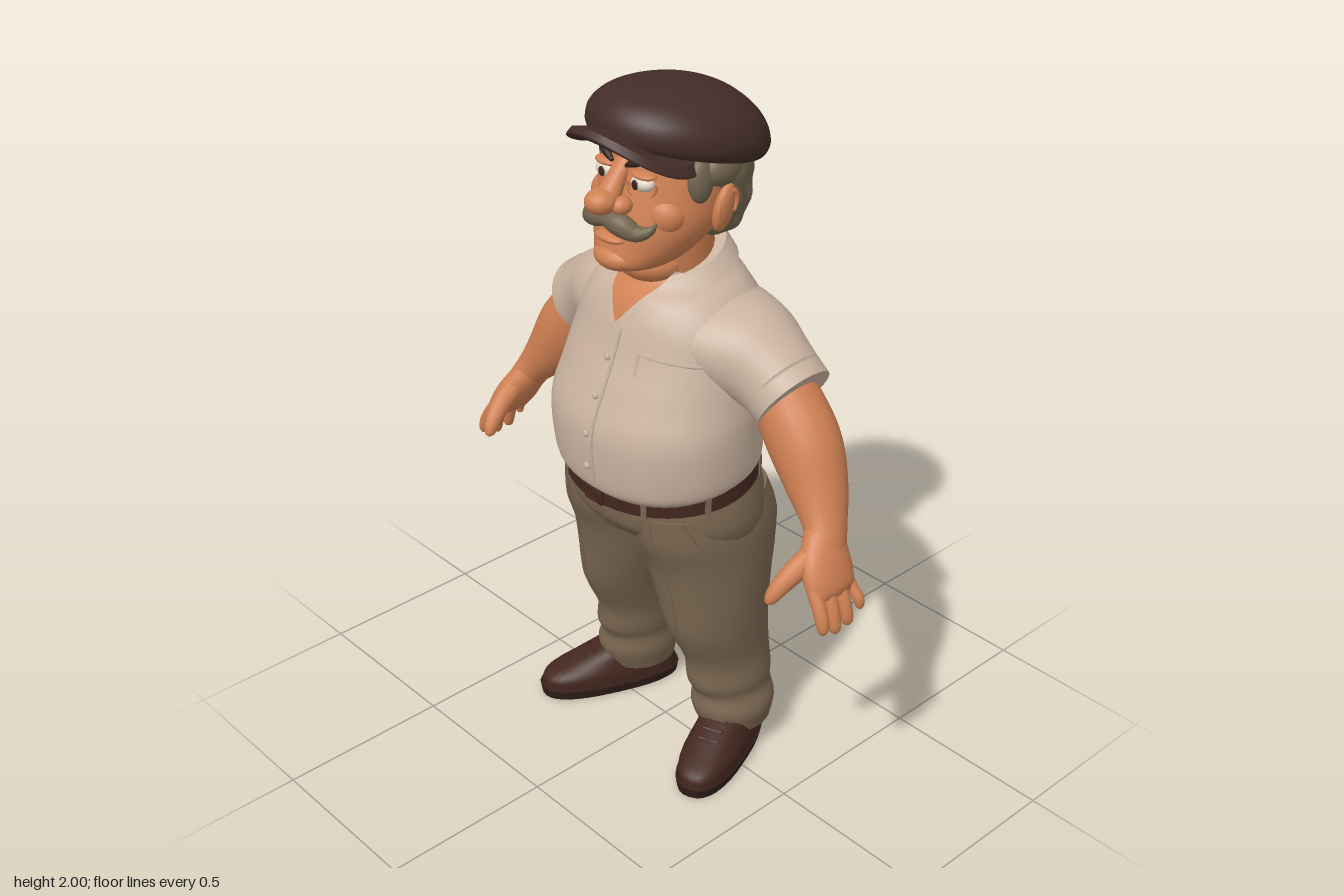
import * as THREE from 'three';

const mat = (name, color, side = THREE.FrontSide) => new THREE.MeshStandardMaterial({ name, color, side });

export function createModel() {
  const root = new THREE.Group();
  root.name = 'standingMan';
  const M = {
    skin: mat('skin', 0xcf8052, THREE.DoubleSide), hair: mat('greyHair', 0x74664f), cap: mat('capBrown', 0x442d28),
    shirt: mat('shirtBeige', 0xcab3a0, THREE.DoubleSide), trousers: mat('trouserBrown', 0x7a6650),
    leather: mat('leather', 0x43271f), sole: mat('sole', 0x2f1d19), white: mat('eyeWhite', 0xe2d6c8),
    dark: mat('dark', 0x35241c),
  };
  const add = (name, geo, m, parent = root) => {
    const mesh = new THREE.Mesh(geo, m);
    mesh.name = name;
    parent.add(mesh);
    return mesh;
  };

  // Smooth loft through rows [x, y, z, radiusU, radiusV, tilt]; level rings, or rings across the path when along is set
  function loft(rows, { n = 32, along = false, e = 2, steps = 5 } = {}) {
    const curve = f => new THREE.CatmullRomCurve3(rows.map(f), false, 'catmullrom', 0.5);
    const path = curve(r => new THREE.Vector3(r[0], r[1], r[2]));
    const size = curve(r => new THREE.Vector3(r[3], r[4] ?? r[3], r[5] ?? 0));
    const pos = [], idx = [], count = (rows.length - 1) * steps;
    const sp = c => Math.sign(c) * Math.abs(c) ** (2 / e);
    for (let i = 0; i <= count; i++) {
      const c = path.getPoint(i / count), s = size.getPoint(i / count);
      const T = along ? path.getTangent(i / count) : new THREE.Vector3(0, 1, 0);
      const v = new THREE.Vector3(0, 0, 1).addScaledVector(T, -T.z).normalize();
      const u = T.clone().cross(v);
      for (let j = 0; j < n; j++) {
        const a = j / n * Math.PI * 2, ku = s.x * sp(Math.cos(a)), kv = s.y * sp(Math.sin(a));
        const p = c.clone().addScaledVector(u, ku).addScaledVector(v, kv);
        pos.push(p.x, p.y + s.z * kv, p.z);
        if (i < count) {
          const k = i * n + j, l = i * n + (j + 1) % n;
          idx.push(k, k + n, l + n, k, l + n, l);
        }
      }
    }
    // End caps with their own vertices, so that the rims stay crisp
    for (const [i, r] of [[0, rows[0]], [count, rows[rows.length - 1]]]) {
      const b = pos.length / 3;
      pos.push(...pos.slice(i * n * 3, (i + 1) * n * 3), r[0], r[1], r[2]);
      for (let j = 0; j < n; j++) {
        const l = b + (j + 1) % n;
        idx.push(b + n, ...(i ? [l, b + j] : [b + j, l]));
      }
    }
    const g = new THREE.BufferGeometry();
    g.setAttribute('position', new THREE.Float32BufferAttribute(pos, 3));
    g.setIndex(idx);
    g.computeVertexNormals();
    return g;
  }
  const ball = (name, m, x, y, z, sx, sy, sz) =>
    add(name, new THREE.SphereGeometry(1, 24, 16).scale(sx, sy, sz).translate(x, y, z), m);
  const mirror = (rows, s) => rows.map(r => [r[0] * s, ...r.slice(1)]);

  // Details laid on the front of other parts
  const hit = (targets, x, y, off) => {
    const h = new THREE.Raycaster(new THREE.Vector3(x, y, 2), new THREE.Vector3(0, 0, -1)).intersectObjects(targets, false)[0];
    return new THREE.Vector3(x, y, (h ? h.point.z : 0) + off);
  };
  function ridge(name, targets, pts, m, r = 0.003) {
    const p = [];
    for (let i = 0; i < pts.length - 1; i++)
      for (let k = 0; k < 8; k++)
        p.push(hit(targets, THREE.MathUtils.lerp(pts[i][0], pts[i + 1][0], k / 8), THREE.MathUtils.lerp(pts[i][1], pts[i + 1][1], k / 8), 0.001));
    p.push(hit(targets, ...pts[pts.length - 1], 0.001));
    add(name, new THREE.TubeGeometry(new THREE.CatmullRomCurve3(p), p.length * 2, r, 5), m);
  }
  function patch(name, targets, [bl, br, tr, tl], m, off) {
    const g = new THREE.PlaneGeometry(1, 1, 10, 10), p = g.attributes.position, mix = THREE.MathUtils.lerp;
    for (let i = 0; i < p.count; i++) {
      const u = p.getX(i) + 0.5, v = p.getY(i) + 0.5;
      const q = hit(targets, mix(mix(bl[0], br[0], u), mix(tl[0], tr[0], u), v), mix(mix(bl[1], br[1], u), mix(tl[1], tr[1], u), v), off);
      p.setXYZ(i, q.x, q.y, q.z);
    }
    g.computeVertexNormals();
    add(name, g, m);
  }

  // Shirt, collar and neck
  const torso = add('shirt', loft([
    [0, 0.935, 0.02, 0.286, 0.232, -0.15], [0, 0.975, 0.027, 0.308, 0.25, -0.13], [0, 1.1, 0.037, 0.312, 0.248, -0.04],
    [0, 1.2, 0.003, 0.302, 0.242, 0], [0, 1.3, -0.025, 0.29, 0.226, 0], [0, 1.39, -0.036, 0.268, 0.205, 0],
    [0, 1.46, -0.035, 0.21, 0.172, -0.05], [0, 1.5, -0.03, 0.15, 0.145, -0.2], [0, 1.525, -0.035, 0.13, 0.13, -0.35]], { n: 48, e: 2.15 }), M.shirt);
  const collar = add('collar', loft([[0, 1.49, -0.035, 0.175, 0.16, -0.25], [0, 1.535, -0.035, 0.135, 0.133, -0.35]]), M.shirt);
  const neck = add('neck', loft([[0, 1.42, -0.03, 0.11, 0.1], [0, 1.5, -0.02, 0.115, 0.115], [0, 1.62, -0.01, 0.12, 0.12]]), M.skin);
  const chest = [torso, collar, neck];
  patch('openNeck', chest, [[-0.003, 1.385], [0.003, 1.385], [0.09, 1.5], [-0.09, 1.5]], M.skin, 0.006);
  for (const s of [-1, 1])
    patch('collarFlap', chest, [[0.065 * s, 1.43], [0.135 * s, 1.4], [0.18 * s, 1.475], [0.095 * s, 1.525]], M.shirt, 0.016);
  patch('chestPocket', chest, [[0.11, 1.18], [0.24, 1.18], [0.25, 1.315], [0.1, 1.325]], M.shirt, 0.005);
  ridge('pocketHem', chest, [[0.105, 1.27], [0.1, 1.325], [0.25, 1.315]], M.shirt, 0.006);
  ridge('placketEdge', chest, [[0.022, 1.37], [0.022, 0.93]], M.shirt, 0.004);
  for (let i = 0; i < 4; i++) {
    const p = hit(chest, 0, 1.29 - i * 0.1, 0.002);
    ball('button', M.shirt, p.x, p.y, p.z, 0.01, 0.01, 0.006);
  }

  // Trousers and belt
  const wear = [add('hips', loft([
    [0, 0.65, -0.03, 0.06, 0.06], [0, 0.7, -0.025, 0.18, 0.13], [0, 0.75, -0.02, 0.285, 0.2], [0, 0.8, -0.009, 0.309, 0.238],
    [0, 0.86, 0.003, 0.307, 0.24, -0.08], [0, 0.93, 0.013, 0.29, 0.233, -0.15]], { n: 48 }), M.trousers)];
  for (const s of [-1, 1])
    wear.push(add('trouserLeg', loft(mirror([
      [0.207, 0.085, -0.085, 0.1, 0.112], [0.207, 0.15, -0.078, 0.113, 0.13], [0.2, 0.205, -0.078, 0.1, 0.125],
      [0.197, 0.25, -0.07, 0.104, 0.138], [0.189, 0.33, -0.065, 0.103, 0.14], [0.181, 0.45, -0.036, 0.121, 0.166],
      [0.163, 0.58, -0.032, 0.144, 0.185], [0.152, 0.68, -0.032, 0.156, 0.205], [0.146, 0.77, -0.02, 0.16, 0.226],
      [0.14, 0.86, 0, 0.15, 0.215]], s)), M.trousers));
  for (const s of [-1, 1]) {
    ridge('pleat', wear, [[0.165 * s, 0.87], [0.19 * s, 0.6], [0.2 * s, 0.36]], M.trousers);
    ridge('pocketSlit', wear, [[0.23 * s, 0.89], [0.275 * s, 0.77]], M.trousers);
  }
  ridge('fly', wear, [[0, 0.86], [0, 0.7]], M.trousers);
  add('belt', loft([[0, 0.905, 0.015, 0.3, 0.244, -0.15], [0, 0.955, 0.015, 0.3, 0.244, -0.15]], { n: 48, steps: 1 }), M.leather);
  add('buckle', new THREE.BoxGeometry(0.07, 0.046, 0.012).translate(0, 0.893, 0.26), M.leather);
  add('buckleFrame', new THREE.TorusGeometry(0.022, 0.004, 6, 4).rotateZ(Math.PI / 4).scale(1.6, 1.1, 1).translate(0, 0.893, 0.266), M.leather);
  for (const a of [0.55, 1.2, 2.1, Math.PI, 4.18, 5.08, 5.73]) {
    const z = 0.244 * Math.cos(a);
    add('beltLoop', new THREE.BoxGeometry(0.016, 0.06, 0.01).rotateY(a).translate(0.3 * Math.sin(a), 0.93 - 0.15 * z, 0.015 + z), M.trousers);
  }

  // Sleeves, arms and hands
  for (const s of [-1, 1]) {
    const limb = (name, rows, m, n = 24) => add(name, loft(mirror(rows, s), { along: true, n }), m);
    limb('sleeve', [[0.05, 1.36, -0.05, 0.1, 0.19], [0.15, 1.342, -0.055, 0.12, 0.185], [0.25, 1.315, -0.065, 0.13, 0.158],
      [0.33, 1.28, -0.07, 0.119, 0.126], [0.405, 1.235, -0.07, 0.108, 0.11]], M.shirt, 32);
    limb('sleeveCuff', [[0.37, 1.258, -0.07, 0.116, 0.115], [0.412, 1.23, -0.07, 0.113, 0.113]], M.shirt, 32);
    limb('arm', [[0.36, 1.25, -0.07, 0.09, 0.09], [0.46, 1.13, -0.062, 0.1, 0.096], [0.53, 1.03, -0.045, 0.08, 0.083],
      [0.59, 0.95, -0.015, 0.052, 0.062], [0.615, 0.9, 0.01, 0.045, 0.065]], M.skin);
    limb('palm', [[0.59, 0.945, -0.008, 0.045, 0.055], [0.632, 0.87, 0.022, 0.044, 0.08], [0.662, 0.82, 0.032, 0.035, 0.078], [0.675, 0.795, 0.034, 0.018, 0.066]], M.skin);
    for (let i = 0; i < 4; i++) {
      const z = 0.09 - i * 0.039, fan = (1.5 - i) * 0.004, tip = [0.722, 0.705, 0.71, 0.738][i], w = i === 3 ? 0.016 : 0.019;
      limb('finger', [[0.648, 0.84, z, w], [0.683, 0.79, z + fan, w], [0.7, tip + 0.03, z + fan * 1.6, w * 0.95], [0.703, tip + 0.007, z + fan * 1.8, w * 0.65], [0.703, tip, z + fan * 1.8, 0.003]], M.skin, 12);
    }
    limb('thumb', [[0.61, 0.9, 0.05, 0.032], [0.6, 0.865, 0.11, 0.03], [0.587, 0.825, 0.155, 0.023], [0.58, 0.798, 0.173, 0.015], [0.578, 0.789, 0.177, 0.003]], M.skin, 12);
  }

  // Shoes, toes turned out
  for (const s of [-1, 1]) {
    const shoe = new THREE.Group();
    shoe.name = 'shoe';
    shoe.position.set(0.245 * s, 0, 0.008);
    shoe.rotation.y = 0.39 * s;
    root.add(shoe);
    add('shoeSole', loft([[0, 0, 0, 0.082, 0.217], [0, 0.028, 0, 0.087, 0.222]], { e: 2.5, steps: 1 }), M.sole, shoe);
    add('shoeUpper', loft([[0, 0.028, 0, 0.083, 0.215], [0, 0.065, -0.003, 0.083, 0.206], [0, 0.1, -0.035, 0.073, 0.158], [0, 0.145, -0.085, 0.062, 0.094]], { e: 2.4 }), M.leather, shoe);
    for (let i = 0; i < 3; i++)
      add('lace', new THREE.CapsuleGeometry(0.006, 0.055, 3, 8).rotateZ(Math.PI / 2).translate(0, 0.137 - i * 0.014, 0.025 + i * 0.03), M.leather, shoe);
  }

  // Head and face
  add('head', loft([
    [0, 1.53, 0.1, 0.05, 0.065], [0, 1.555, 0.085, 0.1, 0.125], [0, 1.61, 0.05, 0.146, 0.15], [0, 1.67, 0.02, 0.174, 0.167],
    [0, 1.74, 0, 0.18, 0.167], [0, 1.8, -0.01, 0.176, 0.162], [0, 1.87, -0.02, 0.165, 0.16], [0, 1.92, -0.02, 0.12, 0.12]], { n: 40 }), M.skin);
  ball('chin', M.skin, 0, 1.57, 0.165, 0.07, 0.037, 0.056);
  ball('throat', M.skin, 0, 1.53, 0.05, 0.1, 0.06, 0.09);
  ball('lowerLip', M.skin, 0, 1.628, 0.19, 0.05, 0.014, 0.027);
  add('noseBridge', loft([[0, 1.82, 0.135, 0.024, 0.02], [0, 1.775, 0.17, 0.028, 0.025], [0, 1.73, 0.2, 0.035, 0.035]].reverse(), { along: true }), M.skin);
  ball('noseTip', M.skin, 0, 1.732, 0.217, 0.042, 0.034, 0.045);
  for (const s of [-1, 1]) {
    ball('nostril', M.skin, 0.038 * s, 1.722, 0.183, 0.026, 0.024, 0.03);
    ball('cheek', M.skin, 0.09 * s, 1.695, 0.092, 0.072, 0.058, 0.056);
    ball('eye', M.white, 0.067 * s, 1.779, 0.137, 0.036, 0.022, 0.025);
    ball('pupil', M.dark, 0.063 * s, 1.778, 0.161, 0.011, 0.013, 0.004);
    ball('upperLid', M.skin, 0.068 * s, 1.8, 0.134, 0.04, 0.011, 0.027);
    add('eyeBag', new THREE.TorusGeometry(0.04, 0.005, 8, 20, Math.PI).rotateZ(Math.PI).rotateY(0.4 * s).translate(0.07 * s, 1.779, 0.145), M.skin);
    add('eyebrow', loft(mirror([[0.026, 1.817, 0.157, 0.005], [0.05, 1.83, 0.153, 0.011], [0.085, 1.84, 0.138, 0.01], [0.12, 1.827, 0.112, 0.003]], s), { along: true, n: 12 }), M.dark);
    add('moustache', loft(mirror([[-0.004, 1.683, 0.2, 0.02, 0.022], [0.045, 1.677, 0.197, 0.031, 0.028], [0.085, 1.66, 0.178, 0.022, 0.024],
      [0.112, 1.668, 0.158, 0.013, 0.015], [0.13, 1.69, 0.15, 0.003, 0.003]], s), { along: true, n: 16 }), M.hair);
    // Ears and sideburns
    const ear = ball('ear', M.skin, 0, 0, 0, 0.022, 0.066, 0.04);
    ear.position.set(0.19 * s, 1.705, -0.025);
    ear.rotation.set(-0.15, 0.3 * s, -0.12 * s);
    add('earFold', new THREE.TorusGeometry(0.026, 0.006, 6, 20, 4.4).scale(1, 1.6, 1).rotateZ(-0.6).rotateY(Math.PI / 2).translate(0.206 * s, 1.712, -0.022), M.skin);
    ball('sideburn', M.hair, 0.166 * s, 1.785, 0.035, 0.028, 0.06, 0.038);
    ball('templeHair', M.hair, 0.18 * s, 1.805, -0.03, 0.032, 0.045, 0.06);
  }

  // Hair round the back, swept in shallow waves
  const hair = loft([[0, 1.575, -0.1, 0.09, 0.075], [0, 1.62, -0.09, 0.152, 0.106], [0, 1.7, -0.08, 0.187, 0.128], [0, 1.78, -0.07, 0.198, 0.138], [0, 1.85, -0.06, 0.195, 0.14]], { n: 80, steps: 8 });
  const hp = hair.attributes.position;
  for (let i = 0; i < hp.count; i++) {
    const x = hp.getX(i), y = hp.getY(i), z = hp.getZ(i) + 0.08;
    const k = 1 + 0.03 * Math.sin(Math.atan2(x, z) * 14 + Math.sin(y * 28) * 1.6) + 0.015 * Math.sin(y * 75);
    hp.setXYZ(i, x * k, y, z * k - 0.08);
  }
  hair.computeVertexNormals();
  add('hair', hair, M.hair);

  // Flat cap with an arched peak
  add('capCrown', loft([
    [0, 1.82, -0.035, 0.18, 0.185, 0.3], [0, 1.825, -0.043, 0.212, 0.23, 0.24], [0, 1.86, -0.045, 0.226, 0.245, 0.19], [0, 1.915, -0.035, 0.21, 0.225, 0.14],
    [0, 1.965, -0.015, 0.155, 0.17, 0.08], [0, 1.993, 0, 0.08, 0.09, 0.03], [0, 2, 0, 0.005, 0.005, 0]], { n: 48 }), M.cap);
  const peak = loft([[0, 1.868, 0.1, 0.17, 0.15, 0.2], [0, 1.88, 0.1, 0.186, 0.165, 0.2], [0, 1.898, 0.1, 0.172, 0.152, 0.2]], { n: 40 });
  const pp = peak.attributes.position;
  for (let i = 0; i < pp.count; i++) pp.setY(i, pp.getY(i) - 1.9 * pp.getX(i) ** 2);
  peak.computeVertexNormals();
  add('capPeak', peak, M.cap);
  return root;
}
